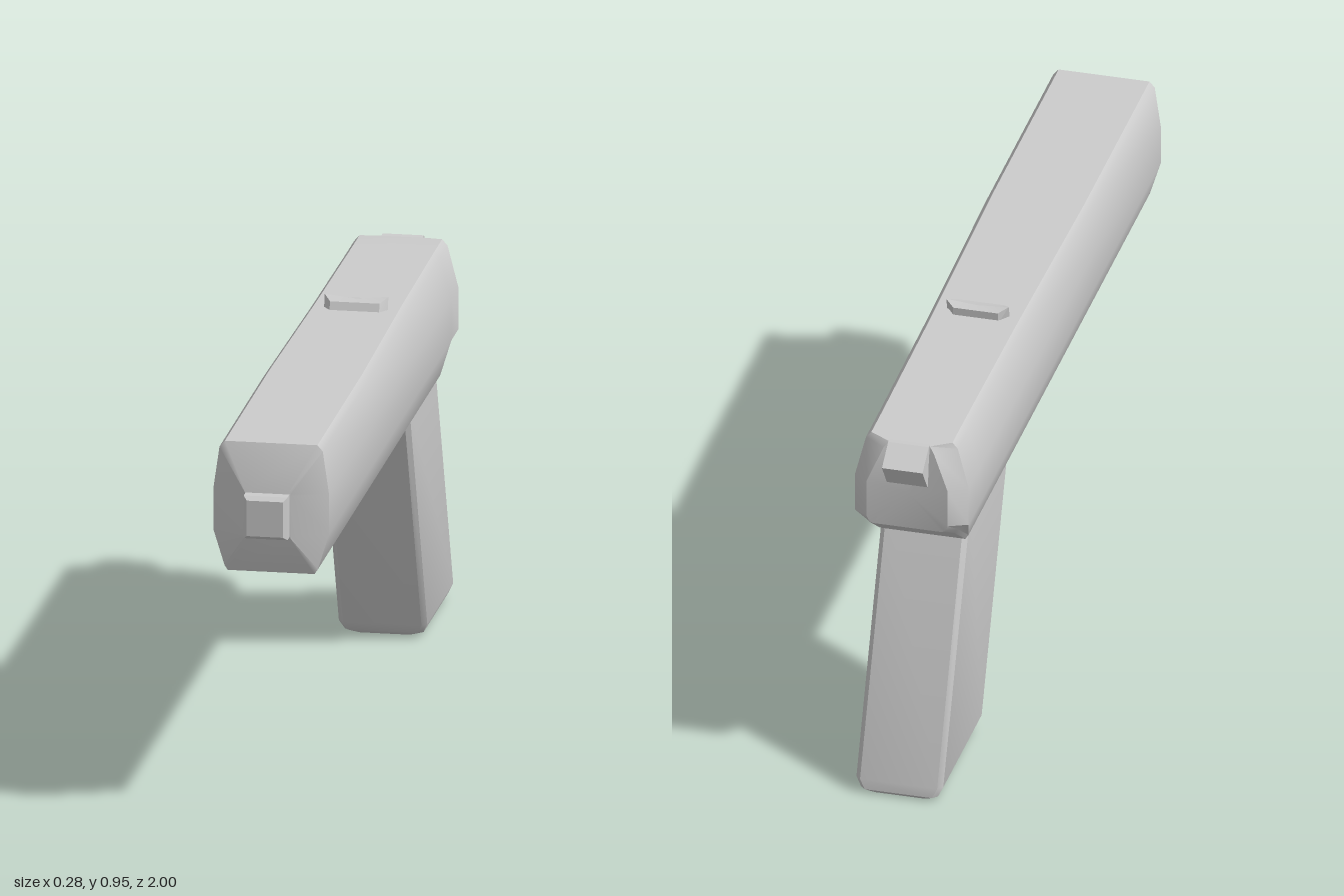
import * as THREE from 'three';
import { toCreasedNormals } from 'three/addons/utils/BufferGeometryUtils.js';

const material = new THREE.MeshStandardMaterial({ color: 0xcccccc });

// Skin equal-length rings of [x, y, z] points and cap both ends, facing outwards.
function loft(name, rings, crease = 0.6) {
  const n = rings[0].length;
  const points = rings.flat();
  const faces = [];
  for (let r = 0; r < rings.length - 1; r++) {
    for (let i = 0; i < n; i++) {
      const a = r * n + i, b = r * n + (i + 1) % n;
      faces.push([a, b, b + n], [a, b + n, a + n]);
    }
  }
  const addCap = (start, flip) => {
    const ring = points.slice(start, start + n);
    const c = points.push([0, 1, 2].map(k => ring.reduce((s, p) => s + p[k], 0) / n)) - 1;
    for (let i = 0; i < n; i++) {
      const a = start + i, b = start + (i + 1) % n;
      faces.push(flip ? [c, b, a] : [c, a, b]);
    }
  };
  addCap(0, true);
  addCap((rings.length - 1) * n, false);

  // A negative enclosed volume means the winding is inside out
  const v = points.map(p => new THREE.Vector3(...p));
  const volume = faces.reduce((s, [a, b, c]) => s + v[a].dot(v[b].clone().cross(v[c])), 0);
  if (volume < 0) faces.forEach(f => f.reverse());

  const geometry = new THREE.BufferGeometry();
  geometry.setAttribute('position', new THREE.Float32BufferAttribute(points.flat(), 3));
  geometry.setIndex(faces.flat());
  const mesh = new THREE.Mesh(toCreasedNormals(geometry, crease), material);
  mesh.name = name;
  return mesh;
}

// Mirror a right-hand half outline (bottom to top) into a closed ring.
const mirrored = half => [...half, ...half.map(([x, y, z]) => [-x, y, z]).reverse()];

// Full body section at z with a given underside height and top width
function bodyRing(z, bottom, top) {
  const waist = Math.max(0.70, bottom + 0.025);
  return mirrored([
    [0.105, bottom, z], [0.113, bottom + 0.012, z], [0.14, waist, z],
    [0.14, 0.80, z], [top + 0.013, 0.905, z], [top, 0.92, z],
  ]);
}

// Rectangle with cut corners in the horizontal plane
function gripRing(y, inset) {
  const lean = (0.6 - y) * 0.405;
  const w = 0.107 - inset, f = -0.385 - lean - inset * 0.6, b = -0.765 - lean + inset * 0.6;
  const c = 0.012;
  return [
    [w - c, y, f], [w, y, f - c], [w, y, b + c], [w - c, y, b],
    [c - w, y, b], [-w, y, b + c], [-w, y, f - c], [c - w, y, f],
  ];
}

// Side profile of [z, y] points swept across the width
const slab = (name, w, profile) =>
  loft(name, [-w, w].map(x => profile.map(([z, y]) => [x, y, z])), 0.3);

export function createModel() {
  const model = new THREE.Group();

  // Long body, from the bevelled tail to the tapering nose
  model.add(loft('body', [
    mirrored([
      [0.085, 0.695, -0.912], [0.093, 0.70, -0.914], [0.10, 0.715, -0.915],
      [0.10, 0.81, -0.915], [0.062, 0.90, -0.90], [0.05, 0.915, -0.893],
    ]),
    bodyRing(-0.87, 0.672, 0.10),
    bodyRing(-0.77, 0.60, 0.10),
    bodyRing(-0.30, 0.60, 0.103),
    bodyRing(0.30, 0.60, 0.112),
    bodyRing(0.912, 0.60, 0.112),
    mirrored([
      [0.05, 0.70, 0.962], [0.055, 0.70, 0.962], [0.055, 0.705, 0.962],
      [0.055, 0.805, 0.962], [0.055, 0.81, 0.962], [0.05, 0.81, 0.962],
    ]),
  ]));

  // Square muzzle with a bevelled end
  const muzzle = [[0.94, 0.053], [0.988, 0.053], [1, 0.044]].map(([z, s]) =>
    mirrored([[s, 0.756 - s, z], [s, 0.756 + s, z]]));
  model.add(loft('muzzle', muzzle));

  // Leaning grip with a bevelled foot
  model.add(loft('grip', [
    gripRing(0.66, 0), gripRing(0.035, 0), gripRing(0.01, 0.012), gripRing(0, 0.035),
  ]));

  // Curved trigger
  model.add(slab('trigger', 0.021, [
    [-0.29, 0.61], [-0.287, 0.56], [-0.268, 0.525], [-0.284, 0.503], [-0.305, 0.55], [-0.335, 0.61],
  ]));

  // Wedge-shaped hammer at the tail
  model.add(slab('hammer', 0.05, [
    [-0.86, 0.915], [-0.902, 0.918], [-0.96, 0.878], [-0.915, 0.815], [-0.86, 0.82],
  ]));

  // Sight bar with raised tips
  const sight = y => (dz, tip) => [
    [0.06, y, -0.226 + dz], [0.077, y + tip, -0.25 + dz], [0.055, y, -0.28],
    [-0.055, y, -0.28], [-0.077, y + tip, -0.25 + dz], [-0.06, y, -0.226 + dz],
  ];
  model.add(loft('sight', [sight(0.91)(0, 0), sight(0.939)(-0.012, 0.011)], 0.3));

  return model;
}
